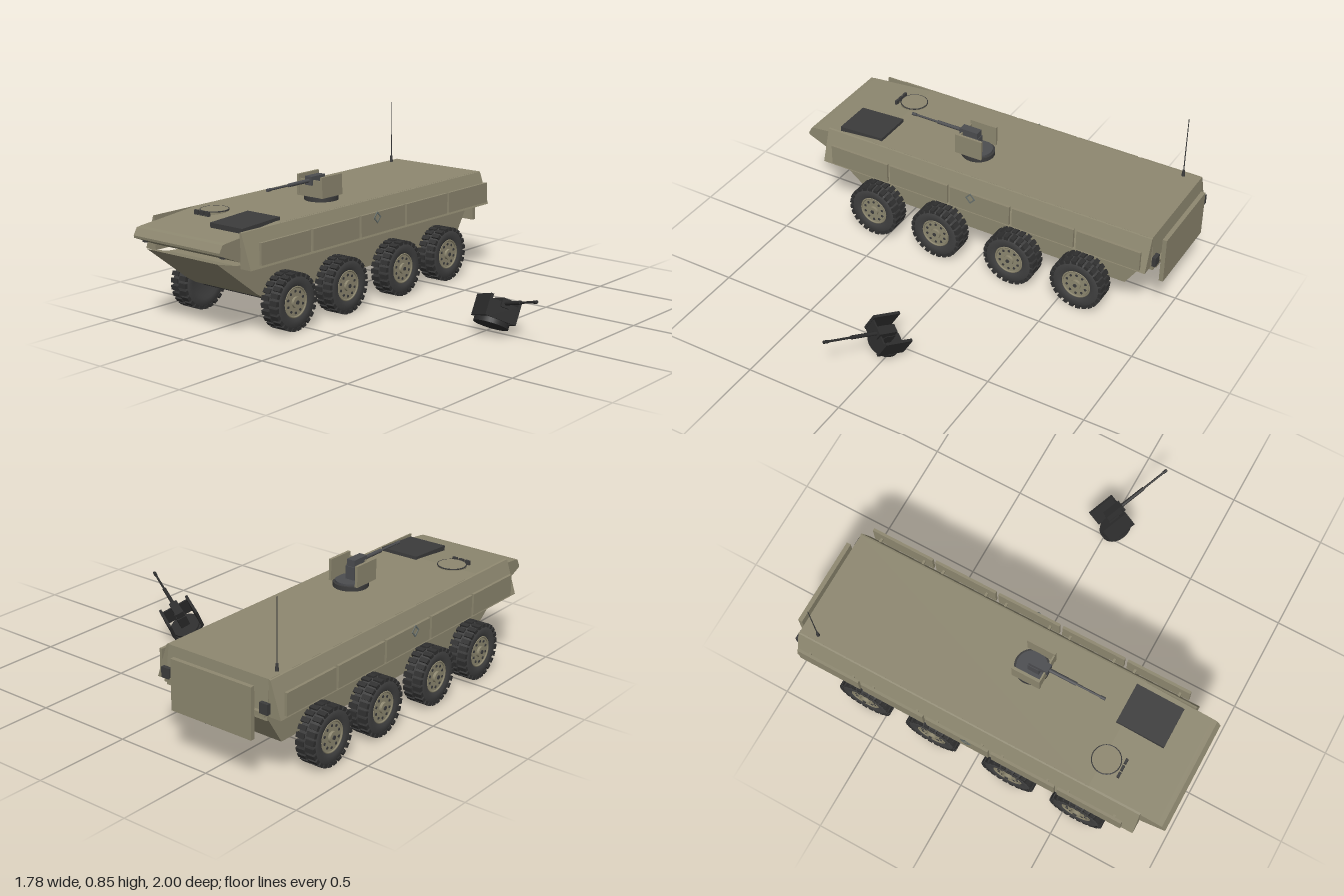
import * as THREE from 'three';
import { toCreasedNormals } from 'three/addons/utils/BufferGeometryUtils.js';

const material = (name, color) => Object.assign(new THREE.MeshStandardMaterial({ color }), { name });
const olive = material('olive paint', 0x8e8870);
const tyreGrey = material('tyre rubber', 0x404040);
const treadGrey = material('tread rubber', 0x303030);
const darkMetal = material('dark metal', 0x3c3c3c);
const gunGrey = material('gun metal', 0x4c4d50);
const charred = material('charred metal', 0x2c2c2c);
const signGrey = material('sign grey', 0x68706c);

const CX = -0.532; // centre line of the vehicle

function add(parent, name, geometry, mat, x = 0, y = 0, z = 0) {
  const mesh = new THREE.Mesh(geometry, mat);
  mesh.name = name;
  mesh.position.set(x, y, z);
  parent.add(mesh);
  return mesh;
}
const box = (w, h, d) => new THREE.BoxGeometry(w, h, d);
const cyl = (r, h, n = 24, r2 = r) => new THREE.CylinderGeometry(r2, r, h, n);
const rod = (r, length, n = 12) => cyl(r, length, n).rotateX(Math.PI / 2);
const shapeOf = (points) => new THREE.Shape(points.map(([x, y]) => new THREE.Vector2(x, y)));

// Side profile given as (z, y), extruded across x
function acrossX(points, width) {
  return new THREE.ExtrudeGeometry(shapeOf(points), { depth: width, bevelEnabled: false })
    .translate(0, 0, -width / 2).rotateY(-Math.PI / 2);
}

// Turret standing on its ring, gun towards +z
function makeTurret(name, shieldMat, ringMat, gunMat) {
  const turret = new THREE.Group();
  turret.name = name;
  add(turret, 'turretRing', cyl(0.085, 0.022, 32), ringMat, 0, 0.011, 0);
  add(turret, 'turretDisc', cyl(0.074, 0.01, 32), gunMat, 0, 0.026, 0);
  for (const s of [-1, 1]) add(turret, 'sideShield', box(0.014, 0.105, 0.148), shieldMat, s * 0.076, 0.077, 0.012);
  add(turret, 'frontShield', box(0.14, 0.085, 0.008), shieldMat, 0, 0.067, 0.08);
  add(turret, 'gunPedestal', box(0.05, 0.07, 0.06), gunMat, 0, 0.06, 0.02);
  add(turret, 'gunReceiver', box(0.044, 0.044, 0.1), gunMat, 0, 0.106, 0.045);
  add(turret, 'barrelSleeve', rod(0.0095, 0.15), gunMat, 0, 0.106, 0.16);
  add(turret, 'barrel', rod(0.0055, 0.16), gunMat, 0, 0.106, 0.295);
  add(turret, 'muzzle', rod(0.008, 0.025), gunMat, 0, 0.106, 0.373);
  return turret;
}

// Wheel with its axis on x and its outer face towards +x
function makeWheel() {
  const wheel = new THREE.Group();
  wheel.name = 'wheel';
  const profile = [[0, -0.044], [0.075, -0.044], [0.09, -0.049], [0.118, -0.049], [0.132, -0.04], [0.134, -0.005],
    [0.134, 0.005], [0.132, 0.04], [0.118, 0.049], [0.09, 0.049], [0.078, 0.044], [0.076, 0.03], [0, 0.03]];
  const tyre = new THREE.LatheGeometry(profile.map(([r, y]) => new THREE.Vector2(r, y)), 36).rotateZ(-Math.PI / 2);
  add(wheel, 'tyre', toCreasedNormals(tyre, 0.6), tyreGrey);
  // Two staggered rows of tread blocks
  for (const s of [-1, 1]) {
    for (let i = 0; i < 24; i++) {
      const a = ((i + (s > 0 ? 0.5 : 0)) / 24) * Math.PI * 2;
      const lug = box(0.044, 0.018, 0.023).translate(s * 0.027, 0.132, 0).rotateX(a);
      add(wheel, 'treadBlock', lug, treadGrey);
    }
  }
  const disc = (r, h, n) => cyl(r, h, n).rotateZ(-Math.PI / 2);
  add(wheel, 'rim', disc(0.076, 0.012, 32), olive, 0.034);
  const lip = new THREE.TorusGeometry(0.073, 0.005, 6, 32).rotateY(Math.PI / 2);
  add(wheel, 'rimLip', lip, olive, 0.041);
  add(wheel, 'hub', disc(0.027, 0.016, 20), olive, 0.045);
  add(wheel, 'hubCap', disc(0.01, 0.008, 12), darkMetal, 0.053);
  for (let i = 0; i < 10; i++) {
    const a = (i / 10) * Math.PI * 2;
    add(wheel, 'rimHole', disc(0.007, 0.004, 8), darkMetal, 0.0405, Math.cos(a) * 0.053, Math.sin(a) * 0.053);
  }
  return wheel;
}

export function createModel() {
  const model = new THREE.Group();
  model.name = 'armouredCarrier';
  const vehicle = new THREE.Group();
  vehicle.name = 'vehicle';
  vehicle.position.x = CX;
  model.add(vehicle);

  // Hull
  add(vehicle, 'upperHull', acrossX([[-0.95, 0.525], [-0.965, 0.34], [0.7, 0.34], [0.87, 0.386], [0.998, 0.44],
    [1, 0.452], [0.98, 0.487], [0.955, 0.491], [0.6, 0.525]], 0.565), olive);
  add(vehicle, 'lowerHull', acrossX([[0.965, 0.387], [0.84, 0.355], [0.7, 0.345], [-0.922, 0.345],
    [-0.805, 0.165], [0.665, 0.165], [0.715, 0.195]], 0.46), olive);

  for (const s of [-1, 1]) {
    // Sloped side boxes
    const section = shapeOf([[s * 0.28, 0.355], [s * 0.346, 0.355], [s * 0.29, 0.523], [s * 0.28, 0.525]]);
    const sponson = new THREE.ExtrudeGeometry(section, { depth: 1.82, bevelEnabled: false });
    add(vehicle, 'sideBox', sponson, olive, 0, 0, -0.952);
    add(vehicle, 'lowerLedge', box(0.02, 0.015, 1.6), olive, s * 0.285, 0.348, -0.12);
    // Side armour panels
    for (let i = 0; i < 5; i++) {
      const z = 0.641 - i * 0.35;
      add(vehicle, 'sidePanel', box(0.014, 0.106, 0.334), olive, s * 0.35, 0.423, z);
      for (const dz of [-0.12, 0.12]) add(vehicle, 'panelBracket', box(0.04, 0.012, 0.012), olive, s * 0.328, 0.42, z + dz);
    }
    // Diamond marking as an outline
    const outline = shapeOf([[0, 0.03], [0.028, 0], [0, -0.03], [-0.028, 0]]);
    outline.holes.push(new THREE.Path([[0, 0.021], [-0.019, 0], [0, -0.021], [0.019, 0]].map(([x, y]) => new THREE.Vector2(x, y))));
    const diamond = new THREE.ExtrudeGeometry(outline, { depth: 0.004, bevelEnabled: false }).rotateY(s * Math.PI / 2);
    add(vehicle, 'diamondMarking', diamond, signGrey, s * 0.3565, 0.45, -0.01);
    // Lamps
    add(vehicle, 'rearLamp', box(0.045, 0.05, 0.02), darkMetal, s * 0.275, 0.4, -0.972);
    add(vehicle, 'headLamp', box(0.025, 0.014, 0.012), darkMetal, s * 0.255, 0.422, 0.955);
  }

  // Rear door
  add(vehicle, 'rearDoor', box(0.45, 0.245, 0.022), olive, 0, 0.367, -0.989);
  add(vehicle, 'doorHinge', box(0.56, 0.02, 0.02), olive, 0, 0.37, -0.97);

  // Wheels and axles
  for (const z of [0.572, 0.198, -0.225, -0.6]) {
    add(vehicle, 'axle', cyl(0.019, 0.56, 16).rotateZ(Math.PI / 2), darkMetal, 0, 0.145, z);
    for (const s of [-1, 1]) {
      const wheel = makeWheel();
      wheel.position.set(s * 0.302, 0.145, z);
      if (s < 0) wheel.rotation.y = Math.PI;
      vehicle.add(wheel);
    }
  }

  // Roof fittings
  add(vehicle, 'roundHatch', cyl(0.07, 0.024, 32), olive, -0.135, 0.522, 0.615);
  add(vehicle, 'hatchSeam', new THREE.TorusGeometry(0.069, 0.003, 6, 40).rotateX(Math.PI / 2), darkMetal, -0.135, 0.532, 0.615);
  for (const dx of [-0.036, 0, 0.036]) add(vehicle, 'periscope', box(0.026, 0.025, 0.012), darkMetal, -0.135 + dx, 0.525, 0.698);
  const grille = add(vehicle, 'engineCover', box(0.208, 0.026, 0.25), darkMetal, 0.147, 0.522, 0.695);
  grille.rotation.x = 0.05;

  // Antenna
  add(vehicle, 'antennaBase', cyl(0.009, 0.035, 12, 0.006), darkMetal, -0.253, 0.541, -0.865);
  add(vehicle, 'antenna', cyl(0.003, 0.32, 8, 0.002), darkMetal, -0.253, 0.698, -0.865);

  // Mounted turret
  const turret = makeTurret('turret', olive, darkMetal, gunGrey);
  turret.position.set(0.09, 0.525, 0.1);
  vehicle.add(turret);

  // Wrecked turret lying beside the vehicle
  const wreck = makeTurret('wreckedTurret', charred, charred, charred);
  const forward = new THREE.Vector3(0.86, 0.27, 0.42).normalize();
  const up = new THREE.Vector3(-0.03, 0.865, -0.497);
  const left = new THREE.Vector3().crossVectors(up, forward).normalize();
  up.crossVectors(forward, left);
  wreck.quaternion.setFromRotationMatrix(new THREE.Matrix4().makeBasis(left, up, forward));
  wreck.position.set(0.552, 0.047, 0.04);
  model.add(wreck);

  return model;
}
